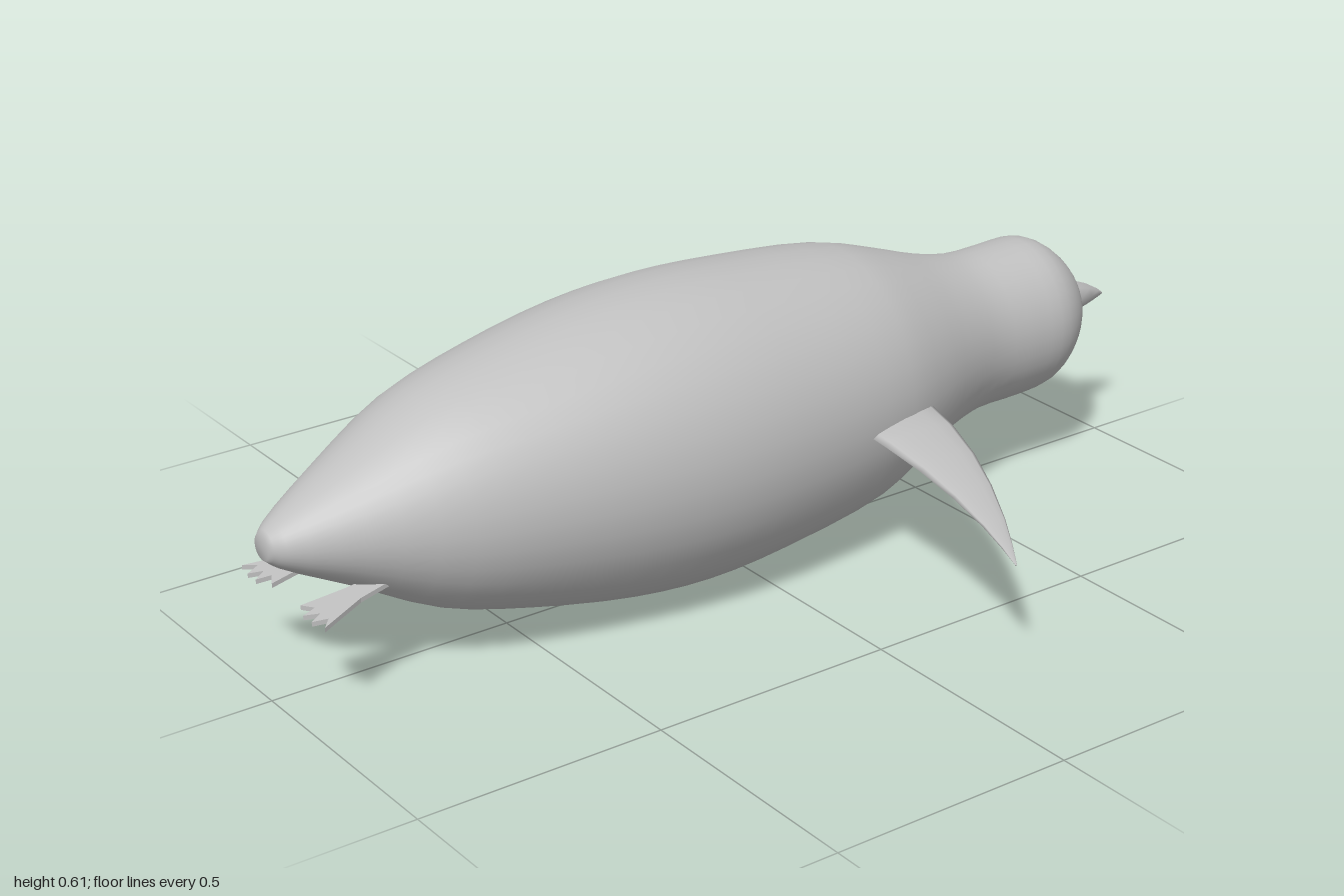
import * as THREE from 'three';

// Skin a list of closed rings (arrays of Vector3) and cap both ends.
function loft(rings) {
  const n = rings[0].length, pos = [], idx = [];
  const add = (p) => pos.push(p.x, p.y, p.z);
  rings.forEach((r) => r.forEach(add));
  for (let i = 0; i < rings.length - 1; i++) {
    for (let j = 0; j < n; j++) {
      const k = (j + 1) % n, a = i * n + j, b = i * n + k;
      idx.push(a, b, a + n, b, b + n, a + n);
    }
  }
  [0, rings.length - 1].forEach((r, end) => {
    const centre = rings[r].reduce((s, p) => s.add(p), new THREE.Vector3()).divideScalar(n);
    const c = pos.length / 3;
    add(centre);
    for (let j = 0; j < n; j++) {
      const a = r * n + j, b = r * n + (j + 1) % n;
      if (end) idx.push(c, a, b); else idx.push(c, b, a);
    }
  });
  const g = new THREE.BufferGeometry();
  g.setAttribute('position', new THREE.Float32BufferAttribute(pos, 3));
  g.setIndex(idx);
  g.computeVertexNormals();
  return g;
}

const ring = (n, point) => Array.from({ length: n }, (_, j) => point((j / n) * Math.PI * 2));

// Elliptical section across the x axis, from bottom to top with half width w
const section = (n, x, bottom, top, w) => ring(n, (a) => new THREE.Vector3(
  x, (top + bottom) / 2 + (top - bottom) / 2 * Math.cos(a), w * Math.sin(a)));

// Each row: x, bottom, top, half width
const BODY = [
  [-1.0, 0.285, 0.335, 0.025], [-0.975, 0.265, 0.355, 0.05], [-0.85, 0.2, 0.428, 0.122],
  [-0.68, 0.108, 0.518, 0.2], [-0.5, 0.056, 0.567, 0.248], [-0.3, 0.016, 0.603, 0.28],
  [-0.13, 0.003, 0.614, 0.29], [0.05, 0.014, 0.606, 0.281], [0.28, 0.05, 0.582, 0.25],
  [0.4, 0.098, 0.546, 0.21], [0.5, 0.14, 0.512, 0.172], [0.6, 0.16, 0.49, 0.146],
  [0.7, 0.162, 0.49, 0.145], [0.78, 0.172, 0.488, 0.144], [0.84, 0.213, 0.45, 0.111],
  [0.88, 0.268, 0.396, 0.062], [0.892, 0.3, 0.366, 0.033],
];

const BEAK = [
  [0.87, 0.293, 0.373, 0.041], [0.9, 0.295, 0.369, 0.038], [0.95, 0.304, 0.349, 0.023],
  [0.985, 0.311, 0.329, 0.009], [1.0, 0.314, 0.317, 0.001],
];

function bodyGeometry() {
  // Smooth the stations with one curve for the profile and one for the width
  const profile = new THREE.CatmullRomCurve3(BODY.map((s) => new THREE.Vector3(s[0], s[1], s[2])));
  const width = new THREE.CatmullRomCurve3(BODY.map((s) => new THREE.Vector3(s[0], s[3], 0)));
  const steps = (BODY.length - 1) * 3, rings = [];
  for (let i = 0; i <= steps; i++) {
    const p = profile.getPoint(i / steps), w = width.getPoint(i / steps);
    rings.push(section(36, p.x, p.y, p.z, w.y));
  }
  return loft(rings);
}

// Each row: z, trailing x, leading x, half thickness
const FLIPPER = [
  [0.22, 0.16, 0.347, 0.013], [0.3, 0.166, 0.334, 0.013], [0.4, 0.169, 0.303, 0.011],
  [0.5, 0.164, 0.259, 0.008], [0.6, 0.15, 0.205, 0.005], [0.67, 0.135, 0.161, 0.003],
  [0.725, 0.12, 0.124, 0.001],
];

function flipperGeometry(side) {
  return loft(FLIPPER.map(([z, back, front, t]) => ring(12, (a) => new THREE.Vector3(
    (front + back) / 2 + (front - back) / 2 * Math.cos(a),
    0.308 - 0.15 * (z - 0.22) + t * Math.sin(side * a),
    side * z))));
}

// Webbed foot outline in x and z, with notched toes at the rear
const FOOT = [
  [-0.79, 0.06], [-0.79, 0.1], [-0.87, 0.112], [-0.965, 0.15], [-0.945, 0.128],
  [-0.972, 0.116], [-0.947, 0.102], [-0.972, 0.086], [-0.944, 0.078],
  [-0.958, 0.052], [-0.87, 0.062],
];

function footGeometry(side) {
  const shape = new THREE.Shape(FOOT.map(([x, z]) => new THREE.Vector2(x, side * z)));
  const g = new THREE.ExtrudeGeometry(shape, { depth: 0.009, bevelEnabled: false });
  g.rotateX(Math.PI / 2);
  // Slope the foot down towards the toes
  const p = g.attributes.position;
  for (let i = 0; i < p.count; i++) p.setY(i, p.getY(i) + 0.203 + 0.14 * (p.getX(i) + 0.97));
  g.computeVertexNormals();
  return g;
}

export function createModel() {
  const model = new THREE.Group();
  model.name = 'penguin';
  const grey = new THREE.MeshStandardMaterial({ color: 0xc0c0c0 });
  grey.name = 'plain grey';

  const part = (name, geometry) => {
    const mesh = new THREE.Mesh(geometry, grey);
    mesh.name = name;
    model.add(mesh);
  };

  part('body', bodyGeometry());
  part('beak', loft(BEAK.map((s) => section(8, ...s))));
  for (const [label, side] of [['near', 1], ['far', -1]]) {
    part(label + 'Flipper', flipperGeometry(side));
    part(label + 'Foot', footGeometry(side));
  }
  return model;
}
